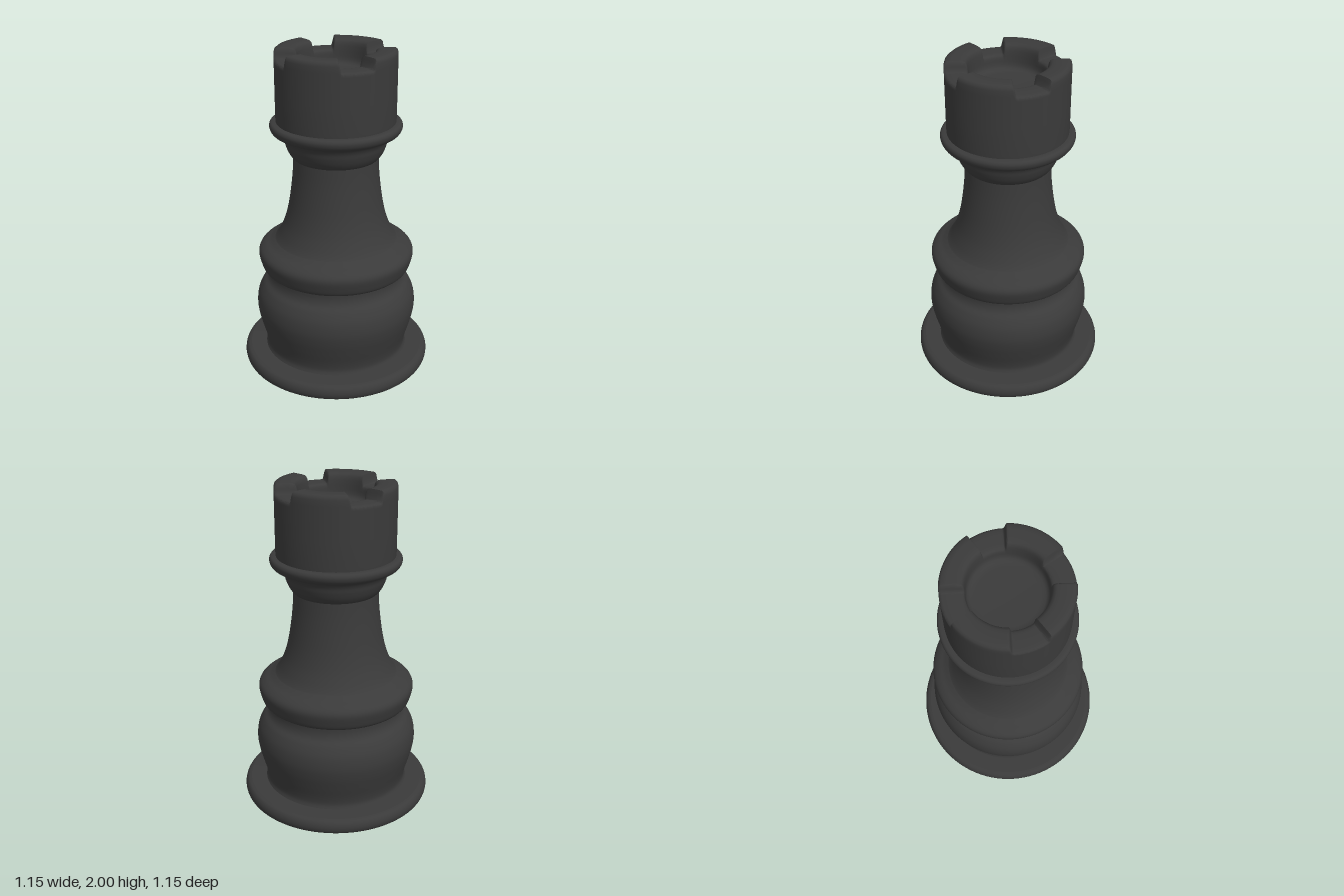
import * as THREE from 'three';
import { mergeVertices, toCreasedNormals } from 'three/addons/utils/BufferGeometryUtils.js';

const material = new THREE.MeshStandardMaterial({ color: 0x3a3a3a });
const toPoints = (pairs) => pairs.map(([r, y]) => new THREE.Vector2(r, y));

// Turned part: a smooth curve through [radius, height] pairs, bottom to top
function turned(name, pairs, divisions = 36) {
  const points = new THREE.SplineCurve(toPoints(pairs)).getPoints(divisions);
  points.forEach((p) => { p.x = Math.max(p.x, 0); });
  const mesh = new THREE.Mesh(new THREE.LatheGeometry(points, 96), material);
  mesh.name = name;
  return mesh;
}

// Flat or conical ring between two radii
function ring(name, pairs) {
  const mesh = new THREE.Mesh(new THREE.LatheGeometry(toPoints(pairs), 96), material);
  mesh.name = name;
  return mesh;
}

// Hollow tower top; the rim dips into four notches
function crown() {
  const rim = 1.9, notchDepth = 0.06;
  const profile = toPoints([
    [0.348, 1.57], [0.35, 1.6], [0.35, 1.75], [0.35, rim], [0.35, 1.94], [0.35, 1.975],
    [0.346, 1.991], [0.335, 2], [0.31, 2], [0.27, 2], [0.245, 1.998], [0.232, 1.992],
    [0.224, 1.98], [0.22, 1.96], [0.218, 1.93], [0.217, rim], [0.215, 1.88],
    [0.208, 1.864], [0.195, 1.855], [0.17, 1.852], [0, 1.852],
  ]);
  let geometry = new THREE.LatheGeometry(profile, 360);
  const pos = geometry.attributes.position;
  for (let i = 0; i < pos.count; i++) {
    const y = pos.getY(i);
    if (y <= rim) continue;
    // Each quarter turn is 55 degrees of merlon followed by 35 of notch
    const degrees = THREE.MathUtils.radToDeg(Math.atan2(pos.getX(i), pos.getZ(i)));
    const a = (degrees + 720.001) % 90;
    const notch = THREE.MathUtils.smoothstep(a, 53.5, 56.5)
      * (1 - THREE.MathUtils.smoothstep(a, 87.5, 90));
    pos.setY(i, y - notch * notchDepth * (y - rim) / (2 - rim));
  }
  geometry.deleteAttribute('uv');
  geometry.deleteAttribute('normal');
  geometry = toCreasedNormals(mergeVertices(geometry, 1e-5), 0.9);
  const mesh = new THREE.Mesh(geometry, material);
  mesh.name = 'crown';
  return mesh;
}

export function createModel() {
  const group = new THREE.Group();
  group.name = 'rook';
  group.add(
    // Wide foot with a slightly domed underside
    ring('underside', [[0, 0], [0.25, 0.006], [0.5, 0.019]]),
    turned('foot', [[0.5, 0.019], [0.54, 0.026], [0.566, 0.042], [0.576, 0.068], [0.573, 0.095],
      [0.56, 0.115], [0.54, 0.123]]),
    ring('footTop', [[0.54, 0.123], [0.42, 0.125]]),
    // Rounded lower body
    turned('bulb', [[0.445, 0.12], [0.435, 0.15], [0.442, 0.2], [0.463, 0.275], [0.482, 0.35],
      [0.49, 0.42], [0.48, 0.49], [0.452, 0.545], [0.42, 0.58], [0.407, 0.615], [0.406, 0.66]], 60),
    // Collar flowing up into the stem
    turned('collar', [[0.39, 0.652], [0.425, 0.655], [0.448, 0.672], [0.462, 0.71], [0.471, 0.755],
      [0.462, 0.785], [0.435, 0.808], [0.4, 0.825], [0.37, 0.845]], 48),
    turned('stem', [[0.385, 0.832], [0.365, 0.85], [0.34, 0.89], [0.31, 0.96], [0.286, 1.05],
      [0.268, 1.16], [0.256, 1.27], [0.25, 1.38]], 48),
    // Flared neck and the ring below the tower top
    turned('neck', [[0.245, 1.355], [0.262, 1.372], [0.28, 1.4], [0.294, 1.435], [0.304, 1.47],
      [0.322, 1.497], [0.35, 1.51]]),
    turned('neckRing', [[0.34, 1.506], [0.365, 1.515], [0.381, 1.533], [0.387, 1.556],
      [0.38, 1.573], [0.365, 1.579], [0.34, 1.58]]),
    crown(),
  );
  return group;
}
